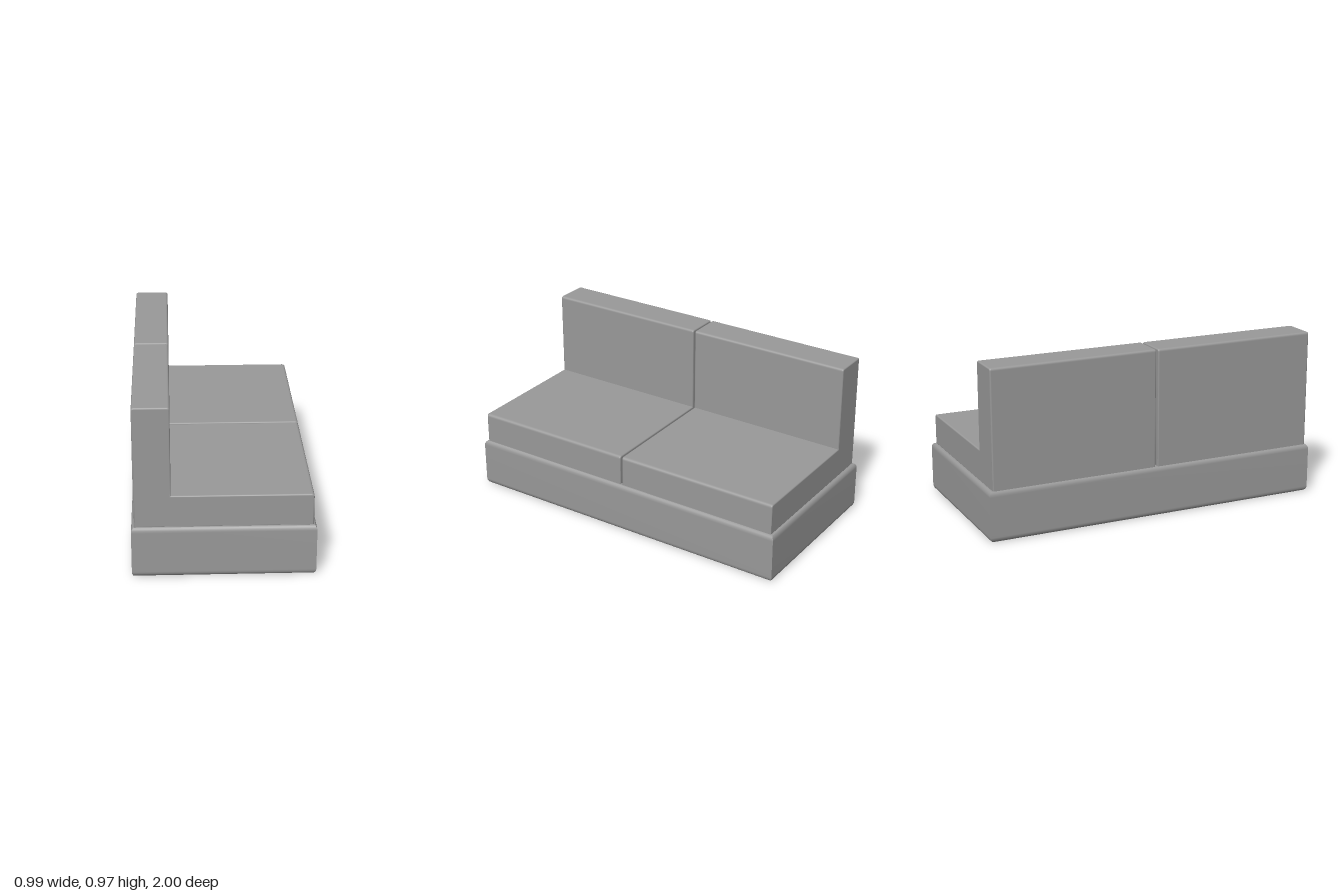
import * as THREE from 'three';

const material = new THREE.MeshStandardMaterial({ color: 0x999999 });

// Closed outline; each point is [x, y, cornerRadius]
function roundedOutline(points) {
  const shape = new THREE.Shape();
  const n = points.length;
  points.forEach(([x, y, r], i) => {
    const corner = new THREE.Vector2(x, y);
    const towards = (p) => new THREE.Vector2(p[0], p[1]).sub(corner).setLength(r).add(corner);
    const a = towards(points[(i + n - 1) % n]);
    const b = towards(points[(i + 1) % n]);
    if (i === 0) shape.moveTo(a.x, a.y);
    else shape.lineTo(a.x, a.y);
    if (r > 0) shape.quadraticCurveTo(x, y, b.x, b.y);
  });
  shape.closePath();
  return shape;
}

// Smooth normals below the crease angle, weighted by the area of each flat
// region, so that large panels stay flat and only the rounded edges shade
function weightNormals(geometry, creaseAngle) {
  const position = geometry.attributes.position;
  const corners = [];
  const facesAt = new Map();
  const areaOf = new Map();
  const triangle = new THREE.Triangle();
  const keyOf = (v, scale) => v.toArray().map((c) => Math.round(c * scale) + 0).join();

  for (let i = 0; i < position.count; i += 3) {
    triangle.setFromAttributeAndIndices(position, i, i + 1, i + 2);
    const normal = triangle.getNormal(new THREE.Vector3());
    const plane = keyOf(normal, 100);
    areaOf.set(plane, (areaOf.get(plane) ?? 0) + triangle.getArea());
    for (const vertex of [triangle.a, triangle.b, triangle.c]) {
      const key = keyOf(vertex, 1e5);
      const face = { key, normal, plane };
      if (!facesAt.has(key)) facesAt.set(key, []);
      facesAt.get(key).push(face);
      corners.push(face);
    }
  }

  const limit = Math.cos(creaseAngle);
  corners.forEach(({ key, normal }, i) => {
    const sum = new THREE.Vector3();
    for (const other of facesAt.get(key)) {
      if (other.normal.dot(normal) > limit) sum.addScaledVector(other.normal, areaOf.get(other.plane));
    }
    sum.normalize();
    geometry.attributes.normal.setXYZ(i, sum.x, sum.y, sum.z);
  });
  return geometry;
}

// Extrusion with softened ends, running from 0 to depth along z
function softExtrude(shape, depth, thickness, size) {
  const geometry = new THREE.ExtrudeGeometry(shape, {
    depth: depth - 2 * thickness,
    bevelThickness: thickness,
    bevelSize: size,
    bevelOffset: -size,
    bevelSegments: 4,
    curveSegments: 5,
  });
  geometry.translate(0, 0, thickness);
  return weightNormals(geometry, 0.7);
}

export function createModel() {
  const model = new THREE.Group();
  model.name = 'sofa';

  // Base: rectangular plinth with rounded upper and lower edges
  const plan = roundedOutline([
    [-0.494, -1, 0], [0.494, -1, 0], [0.494, 1, 0], [-0.494, 1, 0],
  ]);
  const base = new THREE.Mesh(softExtrude(plan, 0.29, 0.03, 0.02).rotateX(-Math.PI / 2), material);
  base.name = 'base';
  model.add(base);

  // Two L-shaped cushions, seat and backrest in one piece
  const profile = roundedOutline([
    [-0.48, 0.285, 0], [0.477, 0.285, 0], [0.477, 0.467, 0.018],
    [-0.281, 0.467, 0], [-0.281, 0.967, 0.015], [-0.48, 0.967, 0.015],
  ]);
  const cushionGeometry = softExtrude(profile, 0.975, 0.009, 0.008);
  [['leftCushion', -0.978], ['rightCushion', 0.008]].forEach(([name, z]) => {
    const cushion = new THREE.Mesh(cushionGeometry, material);
    cushion.name = name;
    cushion.position.z = z;
    model.add(cushion);
  });

  return model;
}
